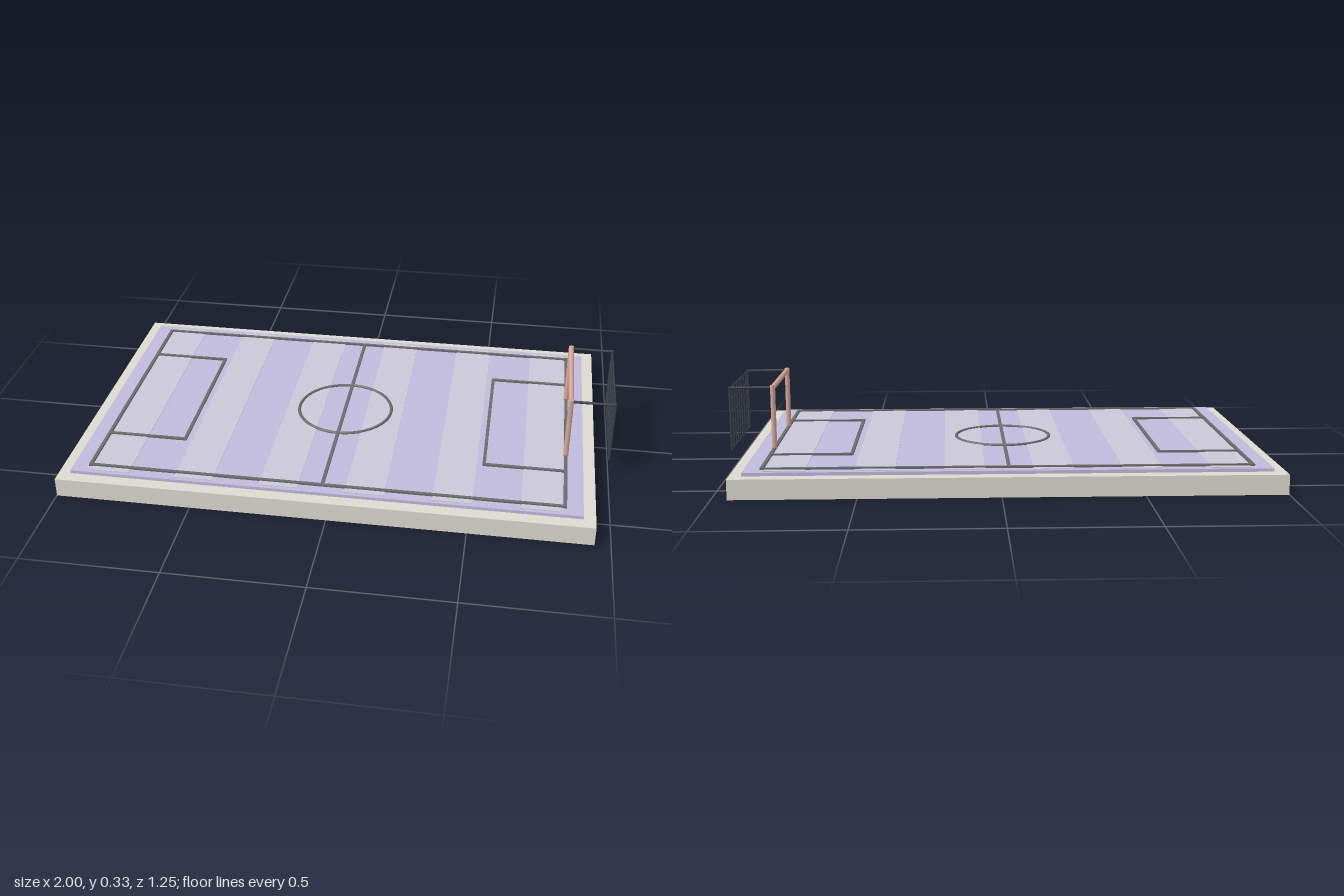
import * as THREE from 'three';

const mat = (color) => new THREE.MeshStandardMaterial({ color });

export function createModel() {
  const model = new THREE.Group();
  const stone = mat(0xdcd9d0), turf = mat(0xc0bbdd), turfLight = mat(0xcbc8d8);
  const paint = mat(0x6c6c6c), frame = mat(0xd8a89a), cord = mat(0x3c3f4a);
  const CX = -0.028; // centre of the pitch along x

  const add = (name, geometry, material, parent, x = 0, y = 0, z = 0) => {
    const mesh = new THREE.Mesh(geometry, material);
    mesh.name = name;
    mesh.position.set(x, y, z);
    parent.add(mesh);
    return mesh;
  };
  const box = (name, w, h, d, material, parent, x, y, z) =>
    add(name, new THREE.BoxGeometry(w, h, d), material, parent, x, y, z);

  // Round bar between two points
  const bar = (name, a, b, r, material, parent) => {
    const from = new THREE.Vector3(...a), to = new THREE.Vector3(...b);
    const dir = to.clone().sub(from);
    const mesh = add(name, new THREE.CylinderGeometry(r, r, dir.length(), 12), material, parent);
    mesh.position.copy(from).add(to).multiplyScalar(0.5);
    mesh.quaternion.setFromUnitVectors(new THREE.Vector3(0, 1, 0), dir.normalize());
    return mesh;
  };

  // Slab and turf
  box('base', 1.943, 0.072, 1.254, stone, model, CX, 0.036, 0);
  box('turf', 1.856, 0.012, 1.16, turf, model, CX, 0.078, 0);

  // Pale mowing stripes
  const stripes = new THREE.Group();
  stripes.name = 'mowingStripes';
  model.add(stripes);
  for (let i = -5; i <= 5; i += 2) {
    box('stripe', 0.142, 0.002, 1.13, turfLight, stripes, CX + i * 0.1565, 0.085, 0);
  }

  // Painted lines
  const lines = new THREE.Group();
  lines.name = 'pitchLines';
  model.add(lines);
  const W = 0.012, H = 0.007, Y = 0.0875;
  const HX = 0.864, HZ = 0.535;
  const lineX = (name, x0, x1, z) =>
    box(name, Math.abs(x1 - x0) + W, H, W, paint, lines, (x0 + x1) / 2, Y, z);
  const lineZ = (name, x, half) => box(name, W, H, 2 * half + W, paint, lines, x, Y, 0);
  lineZ('halfwayLine', CX, HZ);
  for (const s of [-1, 1]) {
    lineX('touchLine', CX - HX, CX + HX, s * HZ);
    lineZ('goalLine', CX + s * HX, HZ);
    lineZ('penaltyAreaFront', CX + s * 0.567, 0.315);
    for (const t of [-1, 1]) {
      lineX('penaltyAreaSide', CX + s * 0.567, CX + s * HX, t * 0.315);
    }
  }
  const circle = add('centreCircle', new THREE.TorusGeometry(0.182, 0.006, 8, 64), paint, lines, CX, 0.086, 0);
  circle.rotation.x = Math.PI / 2;

  // Goal frame
  const goal = new THREE.Group();
  goal.name = 'goal';
  model.add(goal);
  const GX = 0.836, BX = 0.995, GZ = 0.206, TOP = 0.318, FOOT = 0.083;
  for (const s of [-1, 1]) {
    bar('goalPost', [GX, FOOT, s * GZ], [GX, 0.327, s * GZ], 0.0095, frame, goal);
    bar('netTopBar', [GX, TOP, s * 0.204], [BX, TOP, s * 0.204], 0.005, cord, goal);
    bar('netBackPost', [BX, FOOT, s * 0.204], [BX, 0.322, s * 0.204], 0.005, cord, goal);
  }
  bar('crossbar', [GX, TOP, -GZ], [GX, TOP, GZ], 0.01, frame, goal);

  // Net at the back of the goal
  const net = new THREE.Group();
  net.name = 'net';
  goal.add(net);
  for (let i = -3; i <= 3; i++) {
    bar('netVertical', [BX, FOOT, i * 0.051], [BX, TOP, i * 0.051], 0.003, cord, net);
  }
  for (let i = 0; i <= 5; i++) {
    const y = 0.085 + i * 0.046;
    bar('netHorizontal', [BX, y, -0.204], [BX, y, 0.204], 0.003, cord, net);
  }
  return model;
}
